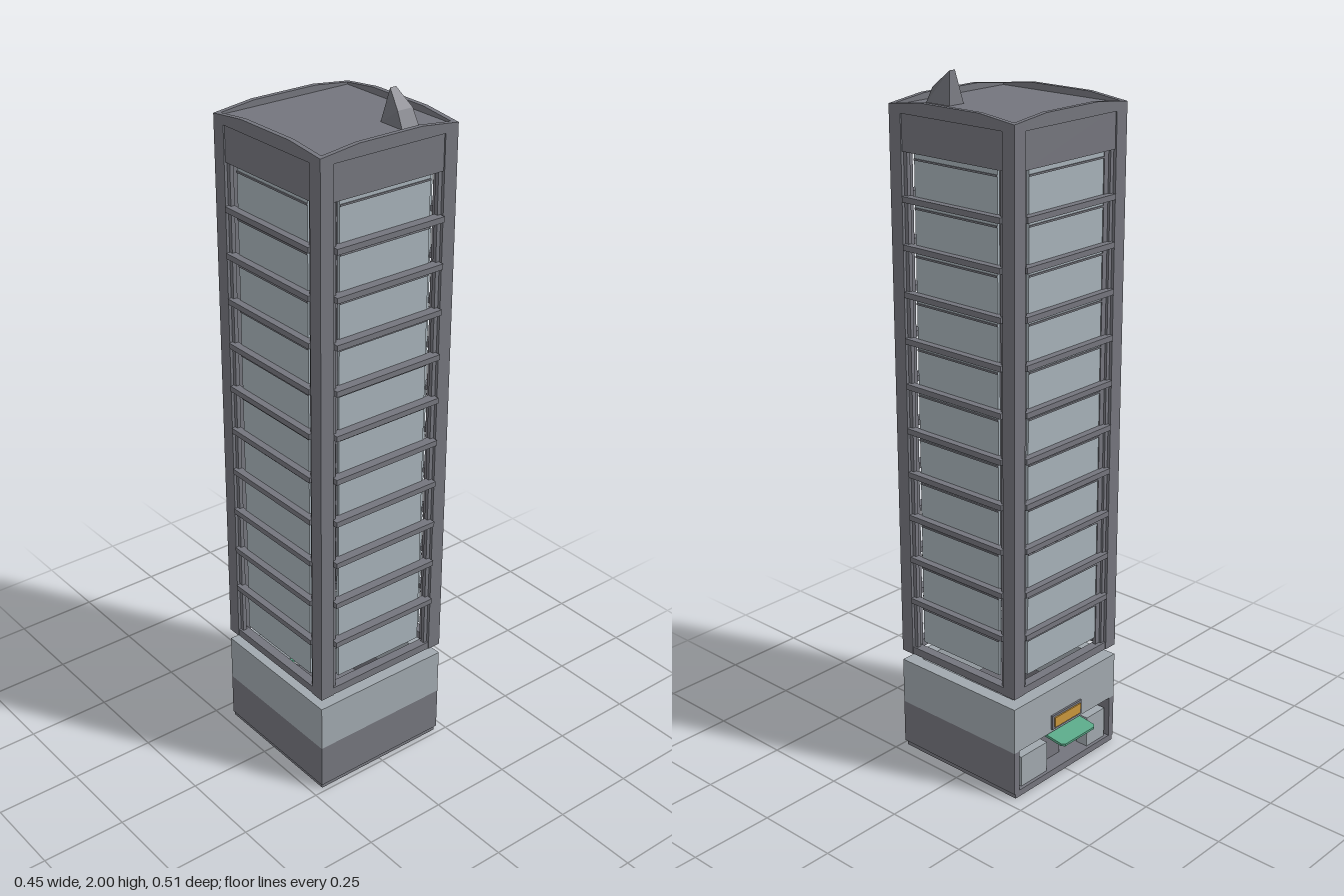
import * as THREE from 'three';

export function createModel() {
  const mat = (name, color) => {
    const m = new THREE.MeshStandardMaterial({ color });
    m.name = name;
    return m;
  };
  const frame = mat('darkGreyFrame', 0x74757d);
  const glass = mat('paleBlueGlass', 0xa6b1b8);
  const band = mat('lightGreyBand', 0xa0a8ae);
  const green = mat('greenAwning', 0x5aa888);
  const amber = mat('amberSign', 0xc8963c);

  const model = new THREE.Group();
  model.name = 'towerBlock';
  const CZ = 0.02; // depth centre of the tower
  const H = 0.22; // half width of the tower

  // Box given by its minimum and maximum corners
  const box = (parent, name, material, x0, x1, y0, y1, z0, z1) => {
    const mesh = new THREE.Mesh(new THREE.BoxGeometry(x1 - x0, y1 - y0, z1 - z0), material);
    mesh.position.set((x0 + x1) / 2, (y0 + y1) / 2, (z0 + z1) / 2);
    mesh.name = name;
    parent.add(mesh);
    return mesh;
  };

  // Four corner posts
  const tower = new THREE.Group();
  tower.name = 'tower';
  tower.position.z = CZ;
  model.add(tower);
  for (const sx of [-1, 1]) for (const sz of [-1, 1]) {
    const post = box(tower, 'cornerPost', frame, -0.021, 0.021, 0.32, 1.91, -0.021, 0.021);
    post.position.x = sx * (H - 0.021);
    post.position.z = sz * (H - 0.021);
  }

  // Four facades: jambs, header, sill, windows, floor ledges and parapet
  const first = 0.365, step = 0.1305, floors = 11;
  for (let k = 0; k < 4; k++) {
    const face = new THREE.Group();
    face.name = ['front', 'left', 'back', 'right'][k] + 'Facade';
    face.rotation.y = k * Math.PI / 2;
    tower.add(face);
    for (const s of [-1, 1]) {
      const jamb = box(face, 'jamb', frame, -0.006, 0.006, 0.32, 1.82, 0.2, 0.212);
      jamb.position.x = s * 0.171;
    }
    box(face, 'header', frame, -0.18, 0.18, 1.795, 1.905, 0.19, 0.216);
    box(face, 'sill', frame, -0.18, 0.18, 0.32, 0.343, 0.19, 0.218);
    const out = k === 0 ? 0.23 : 0.224;
    for (let i = 0; i < floors; i++) {
      const y = first + i * step;
      box(face, 'window', glass, -0.147, 0.147, y, y + step, 0.195, 0.203);
      box(face, 'transom', frame, -0.147, 0.147, y + step - 0.026, y + step - 0.021, 0.2, 0.206);
      if (i > 0) box(face, 'floorLedge', frame, -0.175, 0.175, y - 0.008, y + 0.008, 0.2, out);
    }
    // Parapet strip with a shallow rise in the middle
    const shape = new THREE.Shape();
    shape.moveTo(-H, 1.895);
    shape.lineTo(H, 1.895);
    shape.lineTo(H, 1.916);
    shape.lineTo(0.1, 1.93);
    shape.lineTo(-0.1, 1.93);
    shape.lineTo(-H, 1.916);
    const rim = new THREE.Mesh(
      new THREE.ExtrudeGeometry(shape, { depth: 0.014, bevelEnabled: false }), frame);
    rim.name = 'parapet';
    rim.position.z = H - 0.014;
    face.add(rim);
  }
  // Inner edge of one back corner
  box(tower, 'backJamb', frame, -0.18, -0.148, 0.32, 1.82, -0.205, -0.195);

  // Roof slab and small vent with a slanted, narrow top
  box(tower, 'roof', frame, -0.21, 0.21, 1.89, 1.912, -0.21, 0.21);
  const ventGeo = new THREE.BoxGeometry(0.055, 0.09, 0.085).toNonIndexed();
  const p = ventGeo.attributes.position;
  for (let i = 0; i < p.count; i++) {
    if (p.getY(i) < 0) continue;
    const back = p.getZ(i) < 0;
    p.setXYZ(i, p.getX(i) * (back ? 0.35 : 0.9), back ? 0.045 : 0.0, back ? -0.028 : 0.02);
  }
  ventGeo.computeVertexNormals();
  const vent = new THREE.Mesh(ventGeo, frame);
  vent.name = 'roofVent';
  vent.position.set(0.103, 1.955, 0.15);
  model.add(vent);

  // Light band above the ground floor, open in the middle
  const ring = new THREE.Shape();
  const square = (path, r) => {
    path.moveTo(-r, -r);
    path.lineTo(r, -r);
    path.lineTo(r, r);
    path.lineTo(-r, r);
    path.closePath();
    return path;
  };
  square(ring, H);
  ring.holes.push(square(new THREE.Path(), H - 0.04));
  const bandGeo = new THREE.ExtrudeGeometry(ring, { depth: 0.14, bevelEnabled: false });
  bandGeo.rotateX(-Math.PI / 2);
  const bandMesh = new THREE.Mesh(bandGeo, band);
  bandMesh.name = 'lowerBand';
  bandMesh.position.set(0, 0.148, CZ);
  model.add(bandMesh);

  // Ground floor: closed on three sides, with entrance bays at the back
  const base = new THREE.Group();
  base.name = 'groundFloor';
  model.add(base);
  box(base, 'floor', frame, -0.215, 0.215, 0, 0.02, -0.2, 0.235);
  box(base, 'frontWall', frame, -H, H, 0.015, 0.148, 0.22, 0.24);
  for (const s of [-1, 1]) {
    const wall = box(base, 'sideWall', frame, -0.01, 0.01, 0.015, 0.148, -0.2, 0.22);
    wall.position.x = s * (H - 0.01);
  }
  box(base, 'entranceBay', band, 0.07, 0.18, 0.02, 0.115, -0.19, -0.15);
  box(base, 'entranceBay', band, -0.19, -0.11, 0.02, 0.115, -0.19, -0.15);
  box(base, 'door', frame, -0.03, 0.06, 0.02, 0.125, -0.15, -0.14);

  // Awning with clipped outer corners, sloping down and outward
  const aw = new THREE.Shape();
  aw.moveTo(-0.073, 0);
  aw.lineTo(0.073, 0);
  aw.lineTo(0.073, 0.096);
  aw.lineTo(0.064, 0.105);
  aw.lineTo(-0.064, 0.105);
  aw.lineTo(-0.073, 0.096);
  const awGeo = new THREE.ExtrudeGeometry(aw, { depth: 0.008, bevelEnabled: false });
  awGeo.rotateX(-Math.PI / 2);
  const awning = new THREE.Mesh(awGeo, green);
  awning.name = 'awning';
  awning.position.set(0, 0.138, -0.15);
  awning.rotation.x = -0.13;
  model.add(awning);

  // Sign panel in a dark surround above the awning
  box(model, 'signSurround', frame, -0.064, 0.064, 0.158, 0.203, -0.206, -0.198);
  box(model, 'signPanel', amber, -0.056, 0.056, 0.165, 0.196, -0.21, -0.204);

  return model;
}
